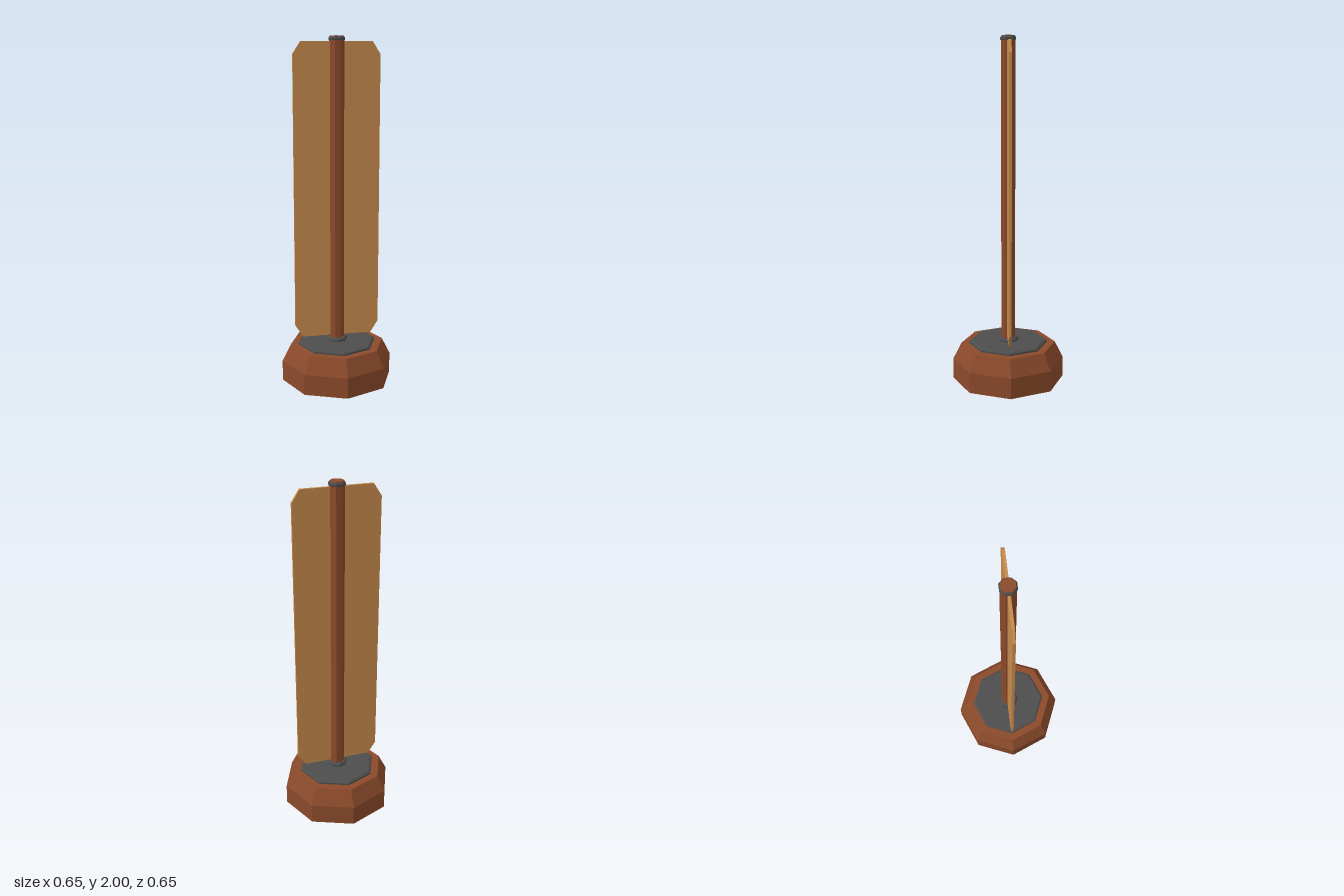
import * as THREE from 'three';

const paint = (color) => new THREE.MeshStandardMaterial({ color, flatShading: true });

// Eight-sided turned part from a bottom-to-top profile of [radius, y]
function octagon(name, profile, material, turn = 0) {
  const points = profile.map(([r, y]) => new THREE.Vector2(r, y));
  const mesh = new THREE.Mesh(new THREE.LatheGeometry(points, 8, turn), material);
  mesh.name = name;
  return mesh;
}

export function createModel() {
  const group = new THREE.Group();
  group.name = 'bladeOnStand';
  const wood = paint(0x8b4a2b);
  const metal = paint(0x4d4d4d);
  const blade = paint(0xc68a4c);
  const half = Math.PI / 8;

  // Stand: heavy base with sloped shoulder, inlaid plate and socket collar
  group.add(octagon('base', [[0, 0], [0.327, 0], [0.327, 0.12], [0.278, 0.217], [0, 0.217]], wood));
  group.add(octagon('plate', [[0, 0.21], [0.231, 0.21], [0.231, 0.227], [0.219, 0.235], [0, 0.235]], metal));
  group.add(octagon('collar', [[0, 0.23], [0.062, 0.23], [0.062, 0.245], [0.054, 0.255], [0, 0.255]], metal));

  // Post turned so that its flats face the axes, with a band near the tip
  group.add(octagon('post', [[0, 0.23], [0.043, 0.23], [0.043, 1.985], [0.039, 2], [0, 2]], wood, half));
  group.add(octagon('topBand', [[0.042, 1.973], [0.047, 1.977], [0.047, 1.988], [0.04, 1.997]], metal, half));

  // Flat blade with chamfered corners running through the post
  const x = 0.248, y0 = 0.265, y1 = 1.97, cx = 0.045, cy = 0.07, t = 0.016;
  const outline = new THREE.Shape([
    [-x + cx, y0], [x - cx, y0], [x, y0 + cy], [x, y1 - cy],
    [x - cx, y1], [-x + cx, y1], [-x, y1 - cy], [-x, y0 + cy],
  ].map(([px, py]) => new THREE.Vector2(px, py)));
  const board = new THREE.Mesh(
    new THREE.ExtrudeGeometry(outline, { depth: t, bevelEnabled: false }).translate(0, 0, -t / 2), blade);
  board.name = 'blade';
  group.add(board);

  return group;
}
